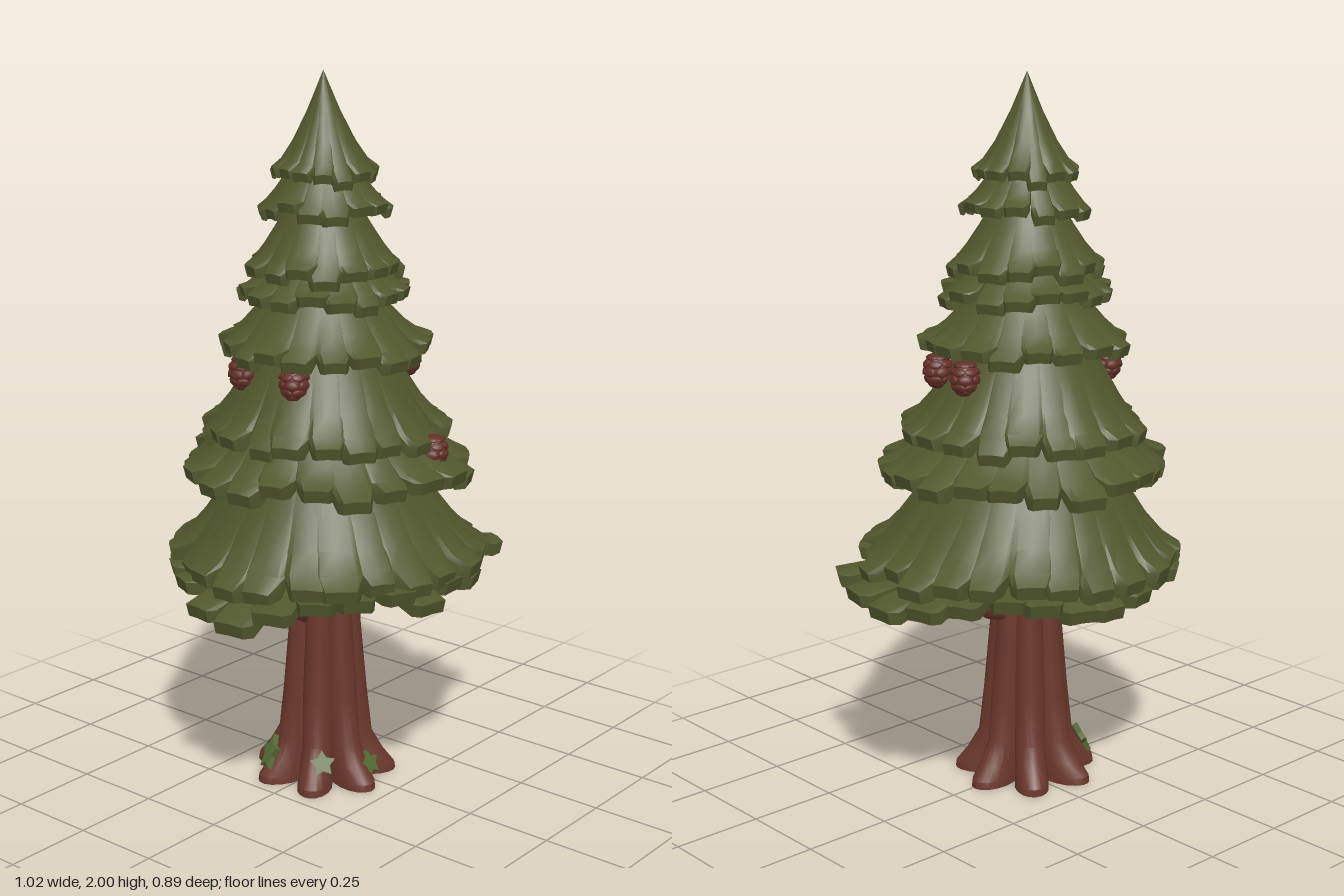
import * as THREE from 'three';
import { toCreasedNormals, mergeGeometries } from 'three/addons/utils/BufferGeometryUtils.js';

const AXIS_X = -0.03;

function seeded(seed) {
  return () => {
    seed = (seed * 16807) % 2147483647;
    return seed / 2147483647;
  };
}

const mat = (name, color) => Object.assign(new THREE.MeshStandardMaterial({ color }), { name });

function buildGeometry(positions, indices, crease = 0.6) {
  const g = new THREE.BufferGeometry();
  g.setAttribute('position', new THREE.Float32BufferAttribute(positions, 3));
  g.setIndex(indices);
  return toCreasedNormals(g, crease);
}

// One thick drooping tuft: a strip of closed cross-sections swept over a small angle.
// reach and drop only bend the outer end, so neighbouring tufts share one smooth slope.
function tuft({ angle, half, r0, y0, R, y1, reach, drop, shift, thick }) {
  const cols = [-1, -0.72, 0, 0.72, 1], ts = [0, 0.3, 0.58, 0.8, 1];
  const K = ts.length, ring = K * 2, pos = [], idx = [];
  for (const u of cols) {
    const extra = reach - (Math.abs(u) === 1 ? 0.06 * R : 0);
    const point = (t, under) => {
      const th = angle + u * half * (t > 0.85 ? 0.86 : 1.15), bend = t ** 3;
      const r = r0 + (R - r0) * t + extra * bend - (under ? thick * 0.25 * t : 0);
      const y = y1 + (y0 - y1) * (1 - t) ** 1.4 - (drop + u * u * 0.005) * bend
        - (under ? thick * (0.15 + 0.85 * t) : 0);
      pos.push(AXIS_X + shift * t + r * Math.sin(th), y, r * Math.cos(th));
    };
    ts.forEach(t => point(t, false));
    [...ts].reverse().forEach(t => point(t, true));
  }
  for (let i = 0; i < cols.length - 1; i++) {
    for (let j = 0; j < ring; j++) {
      const a = i * ring + j, b = i * ring + (j + 1) % ring, c = a + ring, d = b + ring;
      idx.push(a, b, c, b, d, c);
    }
  }
  // Side walls
  const last = (cols.length - 1) * ring;
  for (let j = 0; j < K - 1; j++) {
    const t0 = j, t1 = j + 1, b0 = ring - 1 - j, b1 = ring - 2 - j;
    idx.push(b0, b1, t0, b1, t1, t0);
    idx.push(last + b0, last + t0, last + b1, last + b1, last + t0, last + t1);
  }
  return buildGeometry(pos, idx);
}

// Foliage tiers: [top y, top radius, rim y, rim radius, sideways shift of the rim]
const TIERS = [
  [2.0, 0, 1.735, 0.145, 0.005], [1.78, 0.07, 1.65, 0.177, 0.005], [1.66, 0.09, 1.49, 0.215, 0.005],
  [1.53, 0.11, 1.42, 0.235, 0.005], [1.44, 0.13, 1.275, 0.288, 0], [1.31, 0.16, 1.04, 0.335, 0.01],
  [1.12, 0.2, 0.94, 0.405, 0.02], [0.98, 0.22, 0.685, 0.445, 0.035], [0.75, 0.06, 0.65, 0.445, 0.03],
];
// Reach of the lowest boughs, counter-clockwise from the front
const BOUGHS = [0.96, 0.95, 1.0, 1.22, 1.12, 1.0, 1.0, 0.97, 0.99, 1.0, 0.99, 1.0, 1.14, 1.1, 0.98, 1.0];

function boughReach(angle) {
  const s = ((angle / (Math.PI * 2)) * 16 + 16) % 16, f = s % 1;
  return BOUGHS[Math.floor(s)] * (1 - f) + BOUGHS[Math.ceil(s) % 16] * f;
}

function tierGeometry([y0, r0, y1, R, shift], k) {
  const rand = seeded(97 + k * 131), n = Math.round(8 + R * 38), lowest = k === TIERS.length - 1;
  const parts = [];
  for (let i = 0; i < n; i++) {
    const angle = ((i + 0.25 * (rand() - 0.5) + k * 0.4) / n) * Math.PI * 2;
    let reach = R * (rand() * 0.1 - 0.045), drop = (rand() - 0.5) * 0.035;
    if (lowest) {
      // Long side boughs droop most, and one split shows the limb behind
      const split = Math.abs(angle - 1.66) < 0.1;
      reach += R * (boughReach(angle) - 1) - (split ? 0.1 : 0);
      drop += 0.018 * Math.cos(4 * angle) + 0.03 * Math.sin(angle) ** 8 - 0.012 * Math.cos(angle)
        - (split ? 0.05 : 0);
    }
    const half = (Math.PI / n) * (0.97 + rand() * 0.2);
    parts.push(tuft({ angle, half, r0, y0, R, y1, reach, drop, shift, thick: 0.018 + R * 0.04 }));
  }
  return mergeGeometries(parts);
}

// Trunk: [y, radius, groove depth]
const TRUNK = [[0, 0.207, 0.52], [0.02, 0.204, 0.52], [0.06, 0.172, 0.42], [0.12, 0.138, 0.28],
  [0.25, 0.123, 0.2], [0.45, 0.105, 0.18], [0.65, 0.095, 0.18], [0.85, 0.085, 0.18]];
const LOBES = 7;
const ridge = th => Math.abs(Math.cos((LOBES / 2) * (th + 0.18))) ** 0.85;

function trunkRadius(th, y) {
  let i = 0;
  while (i < TRUNK.length - 2 && y > TRUNK[i + 1][0]) i++;
  const [ya, ra, ga] = TRUNK[i], [yb, rb, gb] = TRUNK[i + 1], f = (y - ya) / (yb - ya);
  return (ra + (rb - ra) * f) * (1 - (ga + (gb - ga) * f) * (1 - ridge(th)));
}

function trunkGeometry() {
  const seg = 70, pos = [], idx = [];
  TRUNK.forEach(([y]) => {
    for (let i = 0; i < seg; i++) {
      const th = (i / seg) * Math.PI * 2, r = trunkRadius(th, y);
      pos.push(AXIS_X + r * Math.sin(th), y, r * Math.cos(th));
    }
  });
  for (let j = 0; j < TRUNK.length - 1; j++) {
    for (let i = 0; i < seg; i++) {
      const a = j * seg + i, b = j * seg + (i + 1) % seg;
      idx.push(a, b, a + seg, b, b + seg, a + seg);
    }
  }
  // Underside of the roots
  const centre = pos.length / 3;
  pos.push(AXIS_X, 0, 0);
  for (let i = 0; i < seg; i++) idx.push(centre, (i + 1) % seg, i);
  return buildGeometry(pos, idx, 0.5);
}

// Bare limb that tapers along its path
function limbGeometry(points) {
  const curve = new THREE.CatmullRomCurve3(points.map(p => new THREE.Vector3(...p)), false, 'catmullrom', 0.15);
  const rows = 12, g = new THREE.TubeGeometry(curve, rows, 0.026, 8);
  const p = g.attributes.position, v = new THREE.Vector3();
  for (let i = 0; i < p.count; i++) {
    const t = Math.floor(i / 9) / rows, c = curve.getPointAt(t);
    v.fromBufferAttribute(p, i).sub(c).multiplyScalar(1 - 0.35 * t).add(c);
    p.setXYZ(i, v.x, v.y, v.z);
  }
  g.computeVertexNormals();
  return g;
}

// Pine cone: egg-shaped core covered in rings of flat scales
function coneGeometry() {
  const parts = [new THREE.SphereGeometry(0.038, 14, 10).scale(1, 1.25, 1).toNonIndexed()];
  for (let k = 0; k < 5; k++) {
    const lat = -1.05 + k * 0.5;
    for (let i = 0; i < 6; i++) {
      const scale = new THREE.IcosahedronGeometry(0.017, 1).scale(1.1, 0.75, 0.35).rotateX(-lat - 0.25);
      scale.translate(0, 0.046 * Math.sin(lat), 0.036 * Math.cos(lat));
      parts.push(scale.rotateY(((i + (k % 2) / 2) / 6) * Math.PI * 2));
    }
  }
  return mergeGeometries(parts);
}

// Leafy moss star
function mossGeometry(points, outer, inner, depth) {
  const s = new THREE.Shape();
  for (let i = 0; i < points * 2; i++) {
    const a = (i / points) * Math.PI, r = i % 2 ? inner : outer;
    s[i ? 'lineTo' : 'moveTo'](r * Math.sin(a), r * Math.cos(a));
  }
  return new THREE.ExtrudeGeometry(s, { depth, bevelEnabled: false });
}

export function createModel() {
  const tree = new THREE.Group();
  tree.name = 'pineTree';
  const needles = mat('needleGreen', 0x51572d), bark = mat('barkBrown', 0x6a372b);
  const coneBrown = mat('coneBrown', 0x632e26), moss = mat('mossGreen', 0x546c34);
  const add = (name, geometry, material) => {
    const m = new THREE.Mesh(geometry, material);
    m.name = name;
    tree.add(m);
    return m;
  };

  TIERS.forEach((tier, k) => add(`foliageTier${k + 1}`, tierGeometry(tier, k), needles));
  add('trunk', trunkGeometry(), bark);
  add('leftLimb', limbGeometry([[0.02, 0.48, 0], [0.07, 0.505, 0], [0.135, 0.525, 0], [0.19, 0.65, 0], [0.205, 0.7, 0]]), bark);
  add('rightLimb', limbGeometry([[-0.08, 0.48, 0], [-0.12, 0.505, 0], [-0.165, 0.53, 0], [-0.235, 0.65, 0], [-0.25, 0.7, 0]]), bark);

  // Pine cones hanging from the boughs
  const cone = coneGeometry();
  [[0.05, 0.995, 0.318], [0.195, 1.2, 0.115], [0.21, 1.2, -0.015], [-0.235, 1.2, 0.07], [-0.225, 1.2, -0.12]]
    .forEach(([x, y, z], i) => {
      const m = add(`pineCone${i + 1}`, cone, coneBrown);
      m.position.set(x, y, z);
      m.rotation.y = i * 0.7;
    });

  // Moss on the roots
  const mossPatch = mossGeometry(5, 0.038, 0.021, 0.016);
  [[0.05, 0.055, 1], [-0.9, 0.08, 1], [-2.03, 0.075, 1.4]].forEach(([th, y, stretch], i) => {
    const m = add(`mossPatch${i + 1}`, mossPatch, moss), r = trunkRadius(th, y) - 0.003;
    m.position.set(AXIS_X + r * Math.sin(th), y, r * Math.cos(th));
    m.rotation.set(-0.45, th, i * 0.1, 'YXZ');
    m.scale.y = stretch;
  });
  return tree;
}
